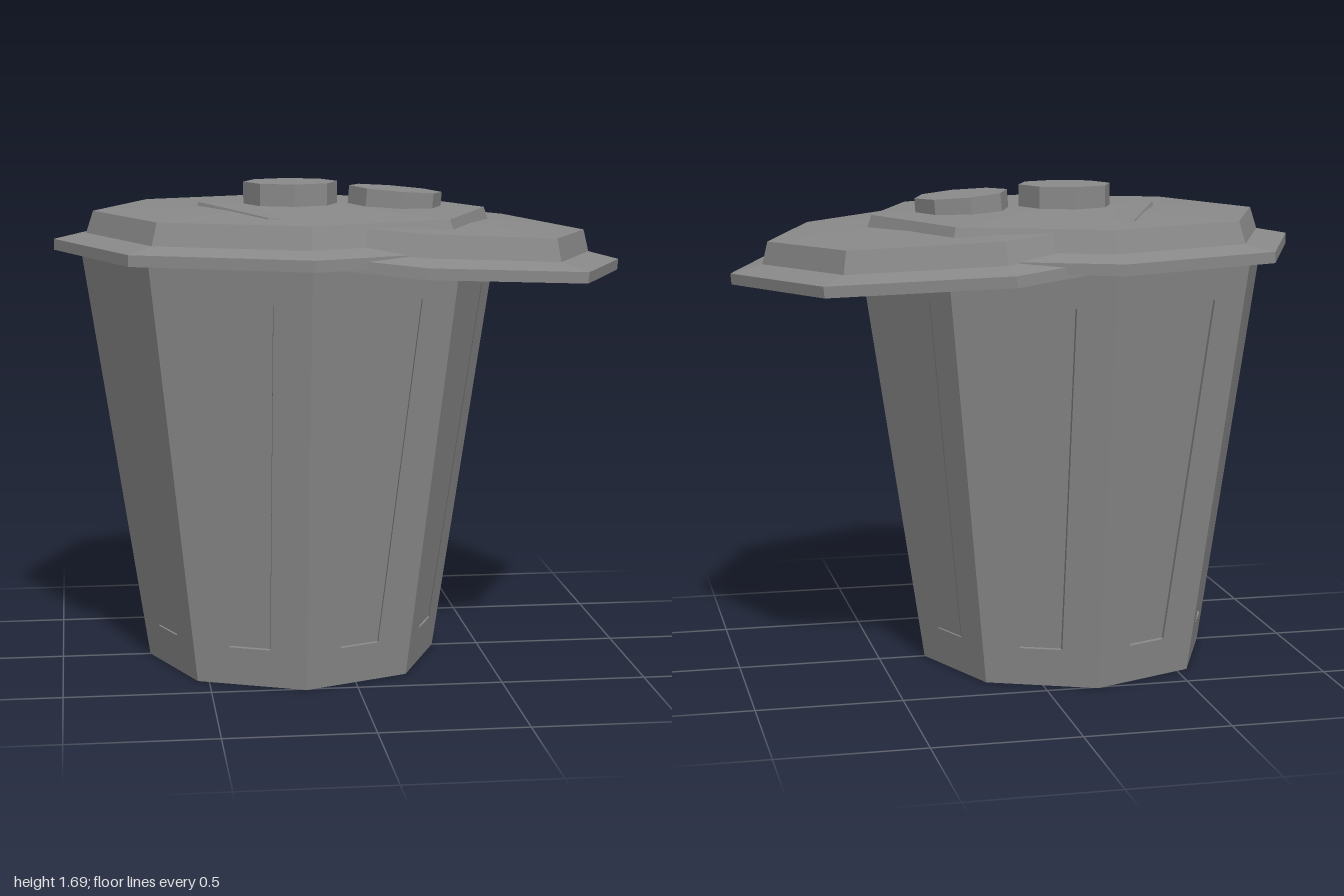
import * as THREE from 'three';

const SIDES = 8;
const BIN_X = -0.177;
const BIN_HEIGHT = 1.46;
const material = new THREE.MeshStandardMaterial({ color: 0x8a8a8a, flatShading: true });

// Octagonal surface of revolution from [radius, y] pairs
function lathe(name, profile) {
  const points = profile.map(([r, y]) => new THREE.Vector2(r, y));
  const mesh = new THREE.Mesh(new THREE.LatheGeometry(points, SIDES), material);
  mesh.name = name;
  return mesh;
}

// Tapered outer wall: each side is a frame around a panel pushed in along z
function createBinWall() {
  const half = Math.PI / SIDES;
  const margin = 0.13, depth = 0.019, panelBottom = 0.135, panelTop = 1.338;
  const positions = [];
  const quad = (a, b, c, d) => [a, b, c, a, c, d].forEach((p) => positions.push(...p));

  for (let k = 0; k < SIDES; k++) {
    const angle = (2 * k + 1) * half;
    const s = Math.sin(angle), c = Math.cos(angle);
    // Four corners of a trapezoid on this side, counter-clockwise from outside
    const loop = (y0, y1, inset) =>
      [[-1, y0], [1, y0], [1, y1], [-1, y1]].map(([side, y]) => {
        const r = 0.512 + 0.15 * y;
        const out = r * Math.cos(half);
        const along = side * (r * Math.sin(half) - inset);
        return [s * out + c * along, y, c * out - s * along];
      });
    const outer = loop(0, BIN_HEIGHT, 0);
    const edge = loop(panelBottom, panelTop, margin);
    const panel = edge.map(([x, y, z]) => [x, y, z - Math.sign(c) * depth]);
    for (let i = 0; i < 4; i++) {
      const j = (i + 1) % 4;
      quad(outer[i], outer[j], edge[j], edge[i]);
      quad(edge[i], edge[j], panel[j], panel[i]);
    }
    quad(...panel);
  }

  const geometry = new THREE.BufferGeometry();
  geometry.setAttribute('position', new THREE.Float32BufferAttribute(positions, 3));
  geometry.computeVertexNormals();
  const mesh = new THREE.Mesh(geometry, material);
  mesh.name = 'binWall';
  return mesh;
}

// Hollow lid with a flared rim, raised crown and knob; y = 0 is the rim's underside
function createLid(name) {
  const lid = new THREE.Group();
  lid.name = name;
  lid.add(
    lathe('lidShell', [
      [0, 0.125], [0.655, 0.095], [0.685, 0.025], [0.8, 0], [0.824, 0],
      [0.824, 0.038], [0.712, 0.058], [0.687, 0.134], [0, 0.16],
    ]),
    lathe('lidKnob', [[0.165, 0.14], [0.165, 0.23], [0, 0.23]]),
  );
  return lid;
}

export function createModel() {
  const model = new THREE.Group();
  model.name = 'trashCan';

  // Bin body: panelled wall, base, and open interior
  const bin = new THREE.Group();
  bin.name = 'bin';
  bin.position.x = BIN_X;
  bin.add(
    createBinWall(),
    lathe('binBase', [[0, 0], [0.512, 0]]),
    lathe('binInterior', [[0.731, BIN_HEIGHT], [0.685, BIN_HEIGHT], [0.48, 0.04], [0, 0.04]]),
  );
  model.add(bin);

  // One lid sits level on the bin, the other has slid off and tilts down
  const levelLid = createLid('levelLid');
  levelLid.position.set(BIN_X, BIN_HEIGHT, 0);
  const tiltedLid = createLid('tiltedLid');
  tiltedLid.position.set(0.176, 1.432, 0);
  tiltedLid.rotation.z = -0.081;
  model.add(levelLid, tiltedLid);

  return model;
}
